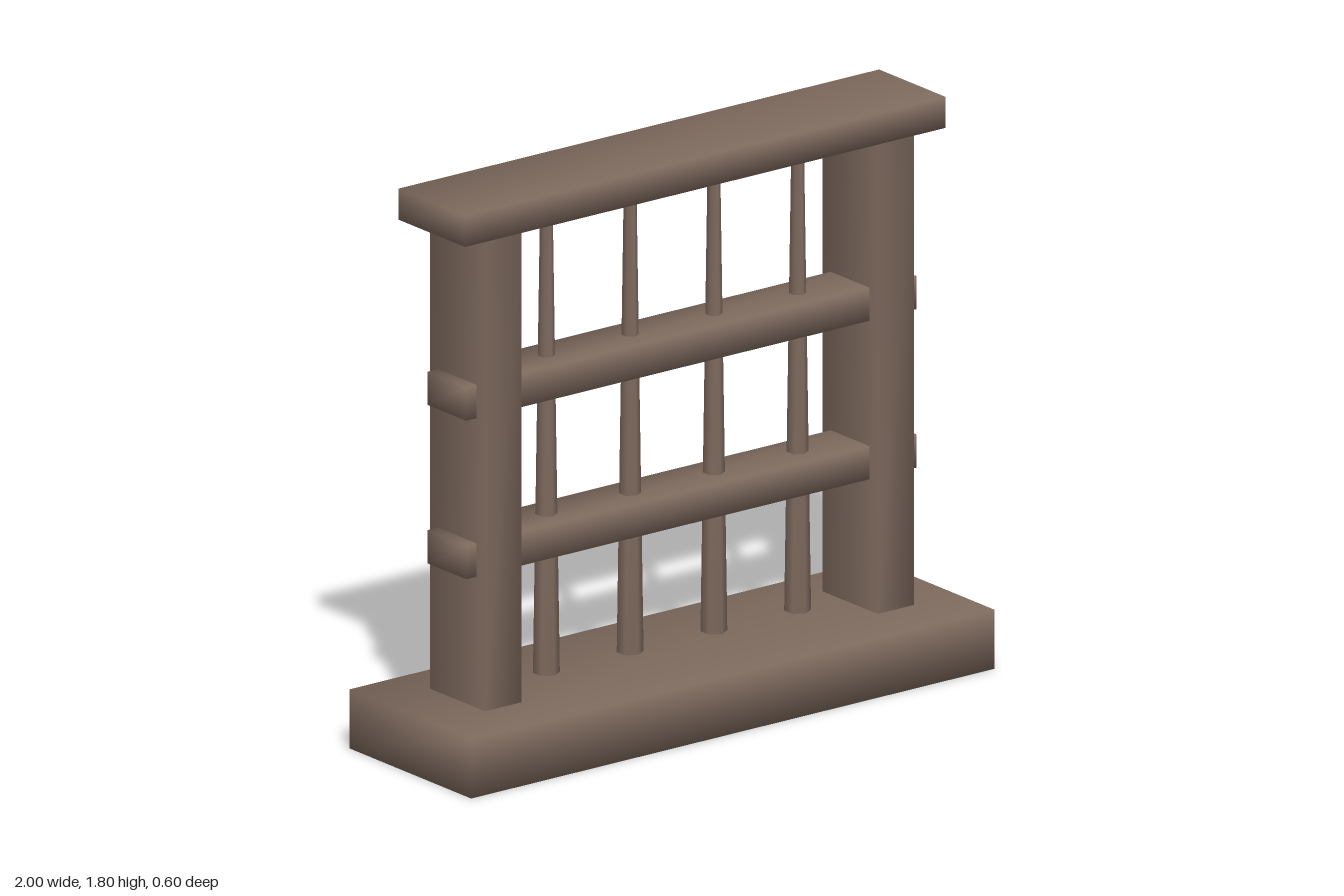
import * as THREE from 'three';
import { mergeVertices } from 'three/addons/utils/BufferGeometryUtils.js';

// Share corners so the shading rolls softly over every edge
function soften(geometry) {
  geometry.deleteAttribute('uv');
  geometry.deleteAttribute('normal');
  const merged = mergeVertices(geometry, 1e-4);
  merged.computeVertexNormals();
  return merged;
}

export function createModel() {
  const group = new THREE.Group();
  const wood = new THREE.MeshStandardMaterial({ color: 0x7d695d });
  wood.name = 'weatheredBrown';

  function add(name, geometry, x, y) {
    const mesh = new THREE.Mesh(soften(geometry), wood);
    mesh.name = name;
    mesh.position.set(x, y, 0);
    group.add(mesh);
  }

  // Beam given by its width, depth and bottom and top heights
  function beam(name, width, depth, y0, y1, x = 0) {
    add(name, new THREE.BoxGeometry(width, y1 - y0, depth), x, (y0 + y1) / 2);
  }

  // Plinth and lintel
  beam('base', 2, 0.6, 0, 0.188);
  beam('topBeam', 1.836, 0.327, 1.704, 1.803);

  // Upright posts
  beam('leftPost', 0.14, 0.272, 0.197, 1.693, 0.75);
  beam('rightPost', 0.14, 0.272, 0.197, 1.693, -0.75);

  // Cross rails running through the posts
  beam('lowerRail', 1.72, 0.19, 0.615, 0.721);
  beam('upperRail', 1.72, 0.19, 1.12, 1.226);

  // Tapered upright bars
  for (let i = 0; i < 4; i++) {
    add('bar' + (i + 1), new THREE.CylinderGeometry(0.02, 0.041, 1.442, 6), -0.48 + i * 0.32, 0.936);
  }

  return group;
}
